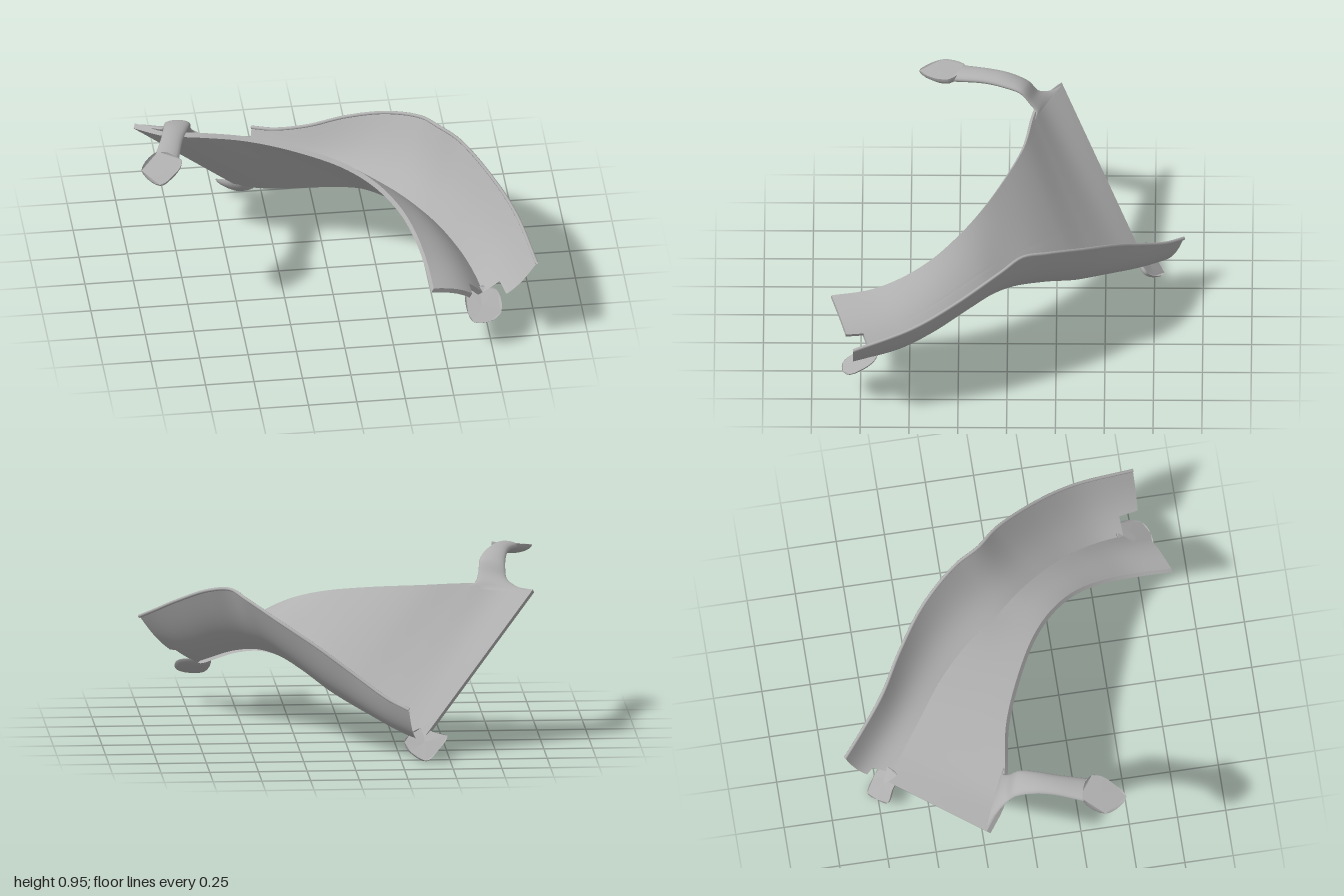
import * as THREE from 'three';

const V = (p) => new THREE.Vector3(...p);
const curve = (pts) => new THREE.CatmullRomCurve3(pts.map(V));

// Front lip of the main panel, from its upper corner to the front end
const lip = curve([[-.96, .785, -.27], [-.81, .79, -.17], [-.65, .795, -.13], [-.4, .78, -.085], [-.15, .755, .01],
  [.08, .715, .13], [.23, .66, .25], [.34, .585, .39], [.4, .515, .54], [.43, .46, .7], [.44, .43, .9]]);
// Valley crease shared by the panel and the outer wall
const crease = curve([[-.36, .09, -.7], [-.24, .13, -.6], [-.08, .2, -.475], [.08, .28, -.345], [.22, .365, -.185],
  [.33, .41, -.02], [.43, .42, .1], [.54, .385, .25], [.64, .32, .42], [.695, .27, .57], [.73, .235, .78]]);
// Upper rim of the outer wall
const rim = curve([[-.28, .29, -.9], [-.18, .33, -.81], [-.02, .43, -.67], [.16, .55, -.55], [.35, .66, -.4],
  [.51, .745, -.21], [.58, .77, -.08], [.68, .745, .03], [.83, .645, .27], [.92, .56, .48], [.985, .465, .785]]);
const armLeft = curve([[-.95, .775, -.27], [-.88, .79, -.21], [-.835, .82, -.15], [-.83, .88, -.1],
  [-.845, .92, 0], [-.87, .925, .1], [-.92, .91, .24]]);
const armRight = curve([[-.62, .78, -.13], [-.67, .8, -.14], [-.69, .84, -.11], [-.7, .9, -.06],
  [-.725, .92, .02], [-.76, .925, .12], [-.8, .91, .28]]);

// Smooth surface from a rule f(u, v) -> Vector3
function patch(f, nu, nv) {
  const pos = [], idx = [];
  for (let i = 0; i <= nu; i++) for (let j = 0; j <= nv; j++) pos.push(...f(i / nu, j / nv).toArray());
  for (let i = 0; i < nu; i++) for (let j = 0; j < nv; j++) {
    const a = i * (nv + 1) + j, b = a + nv + 1;
    idx.push(a, a + 1, b, b, a + 1, b + 1);
  }
  const g = new THREE.BufferGeometry();
  g.setAttribute('position', new THREE.Float32BufferAttribute(pos, 3));
  g.setIndex(idx);
  g.computeVertexNormals();
  return g;
}

const between = (a, b, u, v) => a.getPoint(u).lerp(b.getPoint(u), v);

export function createModel() {
  const group = new THREE.Group();
  const grey = new THREE.MeshStandardMaterial({ color: 0xb0b0b0, side: THREE.DoubleSide });
  grey.name = 'plain grey';
  const add = (name, geometry) => {
    const m = new THREE.Mesh(geometry, grey);
    m.name = name;
    group.add(m);
  };

  // Main panel: flat at the back, crowned at the front, notched at the front tab; d is the depth below its top
  const panel = (u, v, d) => {
    const t = v > .65 ? u * .96 : u;
    const k = Math.sin(Math.PI * v) * .03 * t * t;
    return between(lip, crease, t, v).add(new THREE.Vector3(k * .7, k, 0))
      .addScaledVector(new THREE.Vector3(-.3 - .2 * t, -.67 - .15 * t, .69 - .55 * t), d);
  };
  const thick = .027;
  add('panelTop', patch((u, v) => panel(u, v, 0), 80, 40));
  add('panelUnderside', patch((u, v) => panel(u, v * .97, thick), 80, 40));
  add('panelLip', patch((u, v) => panel(u, 0, thick * v), 80, 1));
  add('panelBackEdge', patch((u, v) => panel(0, u, thick * v), 1, 1));
  add('panelFrontEdge', patch((u, v) => panel(1, u, thick * v), 40, 1));

  // Outer wall: hollow sections flaring up from the crease, notched at both ends
  add('outerWall', patch((u, v) => {
    const t = v < .35 ? .03 + u * .93 : u;
    const k = Math.sin(Math.PI * v);
    return between(crease, rim, t, v)
      .add(new THREE.Vector3(.01 * k, (-.045 + .015 * t) * k, (-.025 + .03 * t) * k));
  }, 80, 40));
  add('wallRim', new THREE.TubeGeometry(rim, 80, .009, 8));

  // Hooked arm with a flattened oval section
  add('arm', patch((u, v) => {
    const a = 2 * Math.PI * v, k = Math.sin(a) * (.01 + .02 * u);
    return between(armLeft, armRight, u, .5 - .5 * Math.cos(a)).add(new THREE.Vector3(0, k, -.5 * k));
  }, 36, 20));

  // Mounting tabs: flat top plate with a rounded pad beneath
  const tab = (name, outline, drop) => {
    const pts = outline.map(V), n = pts.length;
    const mid = pts.reduce((s, p) => s.add(p), new THREE.Vector3()).divideScalar(n);
    const edge = (u) => {
      const i = Math.min(Math.floor(u * n), n - 1);
      return pts[i].clone().lerp(pts[(i + 1) % n], u * n - i);
    };
    const round = new THREE.CatmullRomCurve3(pts, true);
    add(name + 'Plate', patch((u, v) => edge(u).lerp(mid, v), n, 1));
    add(name + 'Pad', patch((u, v) => {
      const a = v * Math.PI / 2;
      return mid.clone().lerp(round.getPoint(u), Math.cos(a)).addScaledVector(V(drop), Math.sin(a));
    }, n * 5, 6));
  };
  tab('backTab', [[-.38, .005, -.8], [-.3, .04, -.75], [-.27, .085, -.71], [-.3, .12, -.68], [-.37, .145, -.64],
    [-.43, .125, -.68], [-.49, .115, -.71], [-.44, .05, -.76]], [.01, -.035, .03]);
  tab('frontTab', [[.7, .265, .66], [.79, .255, .69], [.8, .19, .8], [.74, .165, .84], [.655, .165, .84],
    [.63, .19, .8], [.63, .25, .7]], [0, -.025, -.01]);
  tab('armTab', [[-.9, .93, .22], [-.79, .925, .3], [-.8, .915, .35], [-.84, .9, .4], [-.92, .885, .46],
    [-1, .9, .34]], [.01, -.05, -.02]);

  return group;
}
